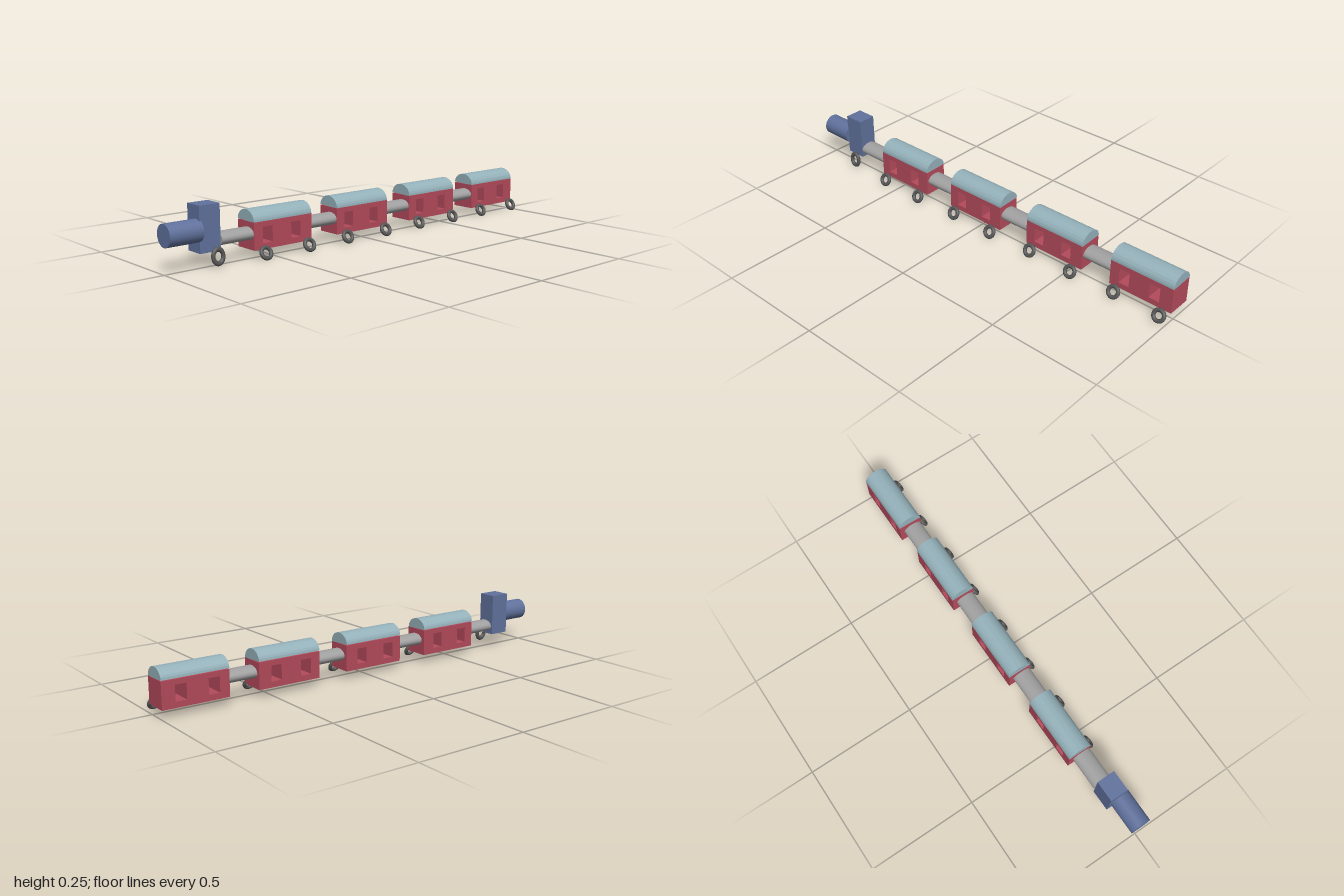
import * as THREE from 'three';
import { toCreasedNormals } from 'three/addons/utils/BufferGeometryUtils.js';

const paint = (color) => new THREE.MeshStandardMaterial({ color });
const blue = paint(0x60719c);
const red = paint(0xb34a5b);
const teal = paint(0x94b1ba);
const grey = paint(0xa0a0a0);
const dark = paint(0x555555);

const CAR_LENGTH = 0.294;
const CAR_DEPTH = 0.11;

function add(parent, name, geometry, material, x, y, z) {
  const mesh = new THREE.Mesh(geometry, material);
  mesh.name = name;
  mesh.position.set(x, y, z);
  parent.add(mesh);
  return mesh;
}

// Cylinder lying along x
function rod(radius, length) {
  return new THREE.CylinderGeometry(radius, radius, length, 32).rotateZ(Math.PI / 2);
}

// Car body with two window openings running right through it
function bodyGeometry() {
  const rect = (target, x0, y0, x1, y1) => {
    target.moveTo(x0, y0);
    target.lineTo(x1, y0);
    target.lineTo(x1, y1);
    target.lineTo(x0, y1);
    target.closePath();
    return target;
  };
  const shape = rect(new THREE.Shape(), 0, 0.041, CAR_LENGTH, 0.156);
  for (const x of [0.043, 0.187]) {
    shape.holes.push(rect(new THREE.Path(), x, 0.066, x + 0.049, 0.134));
  }
  return new THREE.ExtrudeGeometry(shape, { depth: CAR_DEPTH, bevelEnabled: false })
    .translate(-CAR_LENGTH / 2, 0, -CAR_DEPTH / 2);
}

// Half-round roof running along x
function roofGeometry() {
  const shape = new THREE.Shape();
  shape.absellipse(0, 0, 0.0555, 0.047, 0, Math.PI, false);
  shape.closePath();
  const geometry = new THREE.ExtrudeGeometry(shape, {
    depth: CAR_LENGTH, bevelEnabled: false, curveSegments: 32,
  });
  geometry.translate(0, 0, -CAR_LENGTH / 2).rotateY(Math.PI / 2);
  return toCreasedNormals(geometry, 0.5);
}

export function createModel() {
  const train = new THREE.Group();
  train.name = 'train';

  // Engine: boiler, cab and a single upright wheel
  const engine = new THREE.Group();
  engine.name = 'engine';
  train.add(engine);
  add(engine, 'boiler', rod(0.047, 0.15), blue, -0.925, 0.156, 0.007);
  add(engine, 'cab', new THREE.BoxGeometry(0.094, 0.189, 0.083), blue, -0.81, 0.162, -0.0095);
  const wheelGeo = new THREE.TorusGeometry(0.023, 0.0085, 16, 32);
  const engineWheel = add(engine, 'engineWheel', wheelGeo, dark, -0.791, 0.052, 0.055);
  engineWheel.scale.y = 1.23;
  engineWheel.rotation.x = -0.1;

  // Four cars, each one set slightly further back than the last
  const body = bodyGeometry();
  const roof = roofGeometry();
  const centres = [-0.46, -0.02, 0.42, 0.853];
  centres.forEach((x, i) => {
    const car = new THREE.Group();
    car.name = `car${i + 1}`;
    car.position.set(x, 0, -0.017 - 0.0055 * i);
    train.add(car);
    add(car, 'body', body, red, 0, 0, 0);
    add(car, 'roof', roof, teal, 0, 0.157, -0.001).rotation.x = 0.05;
    // Splayed wheels along the front side
    for (const [dx, dz] of [[-0.108, 0.081], [0.112, 0.085]]) {
      add(car, 'wheel', wheelGeo, dark, dx, 0.0315, dz).rotation.x = -0.47;
    }
  });

  // Flattened couplings between the vehicles
  const links = [[-0.757, -0.607], [-0.313, -0.167], [0.127, 0.273], [0.567, 0.706]];
  links.forEach(([x0, x1], i) => {
    const link = add(train, 'coupling', rod(0.043, x1 - x0), grey, (x0 + x1) / 2, 0.107, -0.007 - 0.006 * i);
    link.scale.y = 0.63;
  });

  return train;
}
